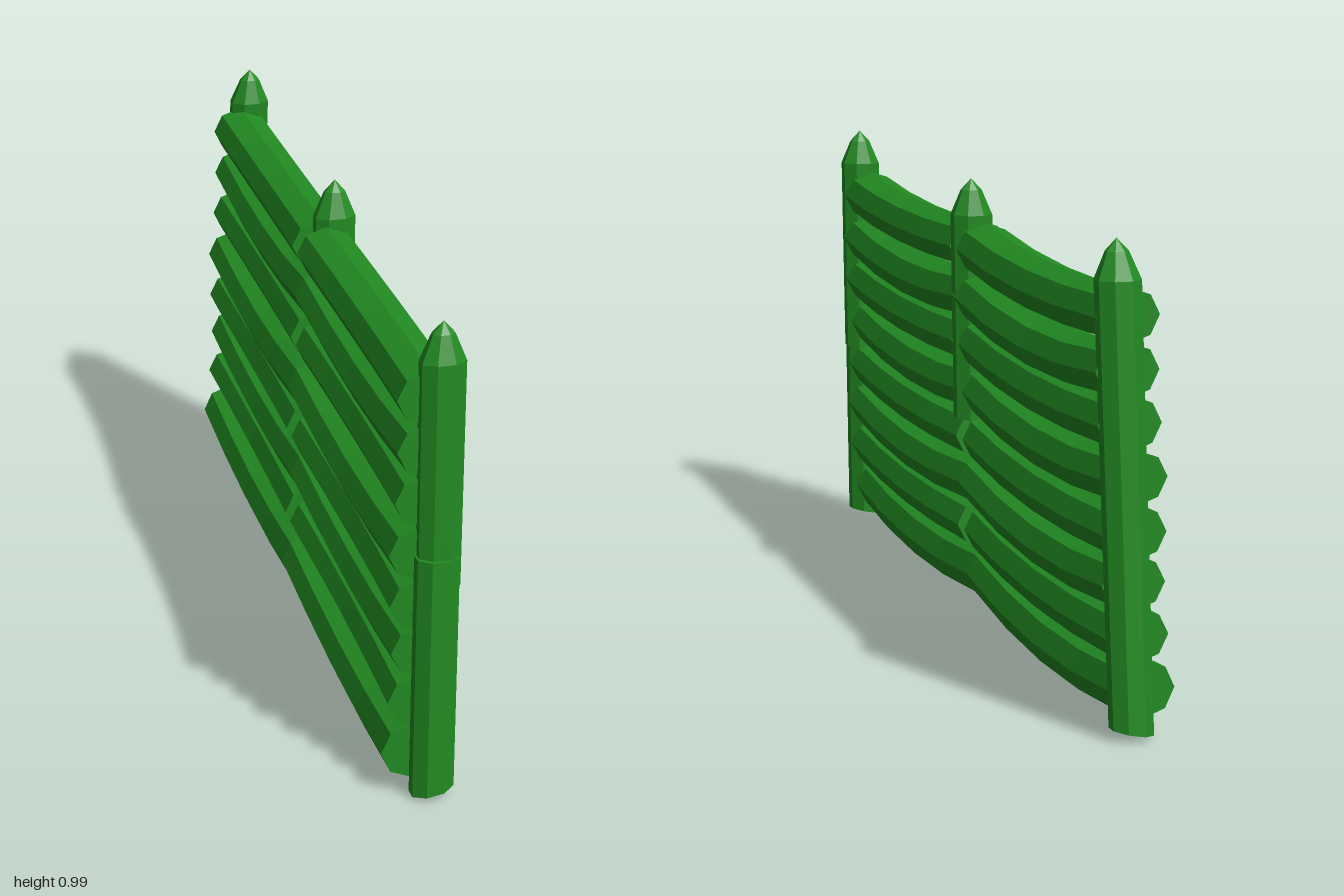
import * as THREE from 'three';

const green = new THREE.MeshStandardMaterial({ color: 0x228b22 });
green.name = 'forest green';
green.flatShading = true;

// Eight-sided leaning stake; bottom and top are [x, y, z] of its axis ends
function stake(name, bottom, top, rx, rz, pointed) {
  const h = top[1] - bottom[1];
  const profile = [[0, 0], [1, 0]];
  if (pointed) profile.push([1.04, h - 0.08], [0.52, h - 0.025], [0, h]);
  else profile.push([1, h], [0, h]);
  const geo = new THREE.LatheGeometry(profile.map(p => new THREE.Vector2(p[0], p[1])), 8, Math.PI / 8);
  const pos = geo.attributes.position;
  for (let i = 0; i < pos.count; i++) {
    const y = pos.getY(i), t = y / h, dx = pos.getX(i) * rx;
    pos.setXYZ(i,
      bottom[0] + (top[0] - bottom[0]) * t + dx,
      bottom[1] + y + dx * 0.2 * (1 - t),
      bottom[2] + (top[2] - bottom[2]) * t + pos.getZ(i) * rz);
  }
  geo.computeVertexNormals();
  const mesh = new THREE.Mesh(geo, green);
  mesh.name = name;
  return mesh;
}

// Sagging eight-sided log running along z from z0 to z1
function rail(name, y, x, ry, z0, z1, sag, bow) {
  const geo = new THREE.CylinderGeometry(1, 1, 1, 8, 4).rotateX(Math.PI / 2);
  const pos = geo.attributes.position;
  for (let i = 0; i < pos.count; i++) {
    const t = pos.getZ(i) + 0.5;
    const curve = 4 * t * (1 - t);
    pos.setXYZ(i,
      x + bow * curve + pos.getX(i) * 0.066,
      y - sag * curve + pos.getY(i) * ry,
      z0 + (z1 - z0) * t);
  }
  geo.computeVertexNormals();
  const mesh = new THREE.Mesh(geo, green);
  mesh.name = name;
  return mesh;
}

export function createModel() {
  const model = new THREE.Group();
  model.name = 'logFence';

  // Posts: one full length, one in two pieces, one short in the middle
  model.add(stake('backPost', [0.012, 0.012, -0.964], [0.035, 0.985, -0.918], 0.046, 0.037, true));
  model.add(stake('frontPostLower', [0.012, 0.012, 0.964], [0.023, 0.51, 0.942], 0.046, 0.038, false));
  model.add(stake('frontPostUpper', [0.026, 0.44, 0.938], [0.035, 0.99, 0.92], 0.046, 0.034, true));
  model.add(stake('middlePost', [0.026, 0.44, 0.014], [0.036, 0.985, 0], 0.046, 0.034, true));

  // Eight rails in each bay: [height, centre x]
  const rows = [
    [0.832, 0.011], [0.725, 0.012], [0.62, 0.007], [0.512, -0.005],
    [0.403, -0.003], [0.303, 0], [0.197, -0.007], [0.088, -0.02],
  ];
  rows.forEach(([y, x], i) => {
    const wide = i % 2 === 0;
    const outer = 0.945 - 0.03 * y;
    const ry = i === 7 ? 0.06 : 0.056;
    const sag = wide ? 0.012 : 0.026;
    const bow = wide ? 0.01 : 0.004;
    model.add(rail('frontRail' + (i + 1), y, x, ry, wide ? 0.03 : 0.004, outer, sag, bow));
    model.add(rail('backRail' + (i + 1), y, x, ry, -outer, wide ? -0.02 : 0.004, sag + 0.004, bow));
  });
  return model;
}
